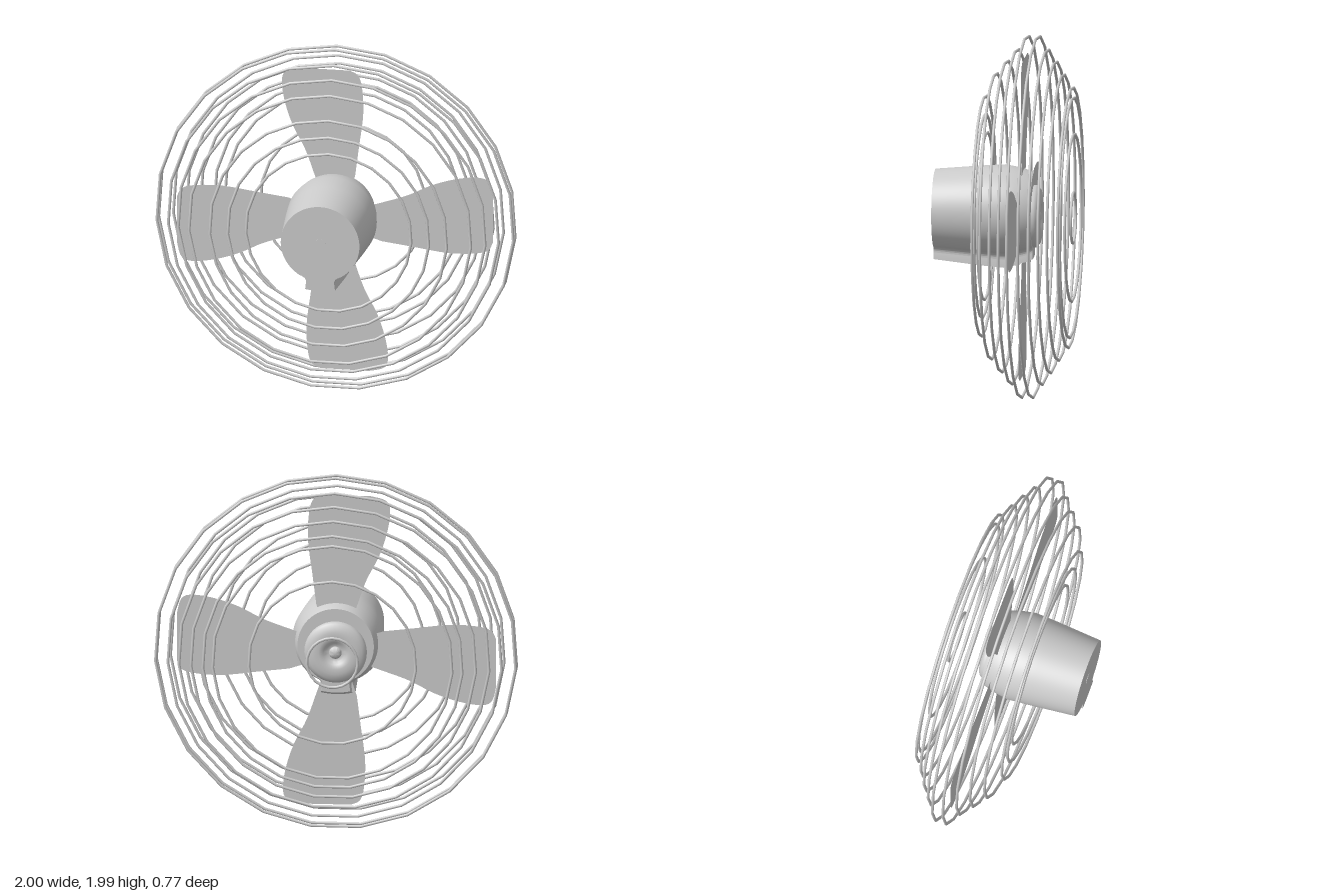
import * as THREE from 'three';
import { toCreasedNormals } from 'three/addons/utils/BufferGeometryUtils.js';

const grey = new THREE.MeshStandardMaterial({ color: 0xcccccc });
const greyThin = new THREE.MeshStandardMaterial({ color: 0xcccccc, side: THREE.DoubleSide });
const axisY = 0.993;

function add(parent, name, geometry, material = grey) {
  const mesh = new THREE.Mesh(geometry, material);
  mesh.name = name;
  parent.add(mesh);
  return mesh;
}

// Wire cage: separate rings, each [radius, z]
function makeCage() {
  const cage = new THREE.Group();
  cage.name = 'cage';
  const rings = [
    [0.46, 0.106], [0.56, 0.116], [0.66, 0.118], [0.785, 0.062], [0.855, 0.003], [0.92, -0.053],
    [0.993, -0.107], [0.993, -0.168], [0.92, -0.218], [0.855, -0.265], [0.785, -0.308],
    [0.715, -0.36], [0.66, -0.366], [0.46, -0.374], [0.14, -0.376],
  ];
  for (const [radius, z] of rings) {
    const ring = add(cage, 'cageRing', new THREE.TorusGeometry(radius, 0.008, 8, 23));
    ring.rotation.z = Math.PI / 2;
    ring.position.set(0, axisY, z);
  }
  return cage;
}

// Motor housing: keyhole outline, widest in the middle and tapered to both ends
function makeHousing() {
  const outline = new THREE.Shape();
  const a = Math.asin(0.13 / 0.25);
  outline.absarc(0, 0, 0.25, -Math.PI / 2 + a, Math.PI * 1.5 - a, false);
  outline.quadraticCurveTo(-0.082, -0.23, -0.09, -0.265);
  outline.lineTo(-0.095, -0.305);
  outline.quadraticCurveTo(0, -0.325, 0.095, -0.305);
  outline.lineTo(0.09, -0.265);
  outline.quadraticCurveTo(0.082, -0.23, 0.13, -0.2135);

  const sections = [[-0.158, 0.84], [-0.145, 0.87], [-0.07, 0.95], [0, 1], [0.13, 0.965], [0.385, 0.875]];
  const steps = sections.length - 1;
  const geometry = new THREE.ExtrudeGeometry(outline, { depth: steps, steps, bevelEnabled: false, curveSegments: 40 });
  const p = geometry.attributes.position;
  for (let i = 0; i < p.count; i++) {
    const [z, s] = sections[Math.round(p.getZ(i))];
    p.setXYZ(i, p.getX(i) * s, p.getY(i) * s, z);
  }
  geometry.deleteAttribute('normal');
  return toCreasedNormals(geometry, 0.6);
}

// One flat blade pointing up from the hub
function makeBlade() {
  const shape = new THREE.Shape();
  shape.moveTo(0.06, 0.1);
  shape.lineTo(0.112, 0.26);
  shape.splineThru([[0.132, 0.42], [0.157, 0.62], [0.152, 0.77], [0.13, 0.85], [0.08, 0.878]]
    .map(([x, y]) => new THREE.Vector2(x, y)));
  shape.lineTo(-0.19, 0.878);
  shape.splineThru([[-0.27, 0.855], [-0.295, 0.8], [-0.28, 0.68], [-0.235, 0.54], [-0.165, 0.4], [-0.115, 0.26]]
    .map(([x, y]) => new THREE.Vector2(x, y)));
  shape.lineTo(-0.06, 0.1);
  return new THREE.ShapeGeometry(shape, 5);
}

export function createModel() {
  const model = new THREE.Group();
  model.name = 'fan';
  model.add(makeCage());

  const motor = new THREE.Group();
  motor.name = 'motor';
  motor.position.y = 1.03;
  model.add(motor);
  add(motor, 'housing', makeHousing());

  // Small screw on the front face
  const screw = add(motor, 'screw', new THREE.CylinderGeometry(0.03, 0.03, 0.006, 20));
  screw.rotation.x = Math.PI / 2;
  screw.position.z = 0.384;

  // Rotor: domed hub with a dished centre, and four blades
  const rotor = new THREE.Group();
  rotor.name = 'rotor';
  rotor.position.y = axisY;
  model.add(rotor);
  const profile = [[0.0, 0.15], [0.172, 0.15], [0.172, 0.172], [0.165, 0.185], [0.148, 0.196], [0.12, 0.203], [0.09, 0.204],
    [0.065, 0.198], [0.052, 0.182], [0.035, 0.18], [0.03, 0.192], [0.018, 0.199], [0, 0.202]]
    .map(([r, h]) => new THREE.Vector2(r, h));
  const hub = add(rotor, 'hub', toCreasedNormals(new THREE.LatheGeometry(profile, 40), 0.9));
  hub.rotation.x = -Math.PI / 2;
  hub.position.y = 0.005;

  const bladeGeometry = makeBlade();
  for (let i = 0; i < 4; i++) {
    const blade = add(rotor, 'blade', bladeGeometry, greyThin);
    blade.rotation.z = i * Math.PI / 2;
    blade.position.z = -0.103;
  }
  return model;
}
